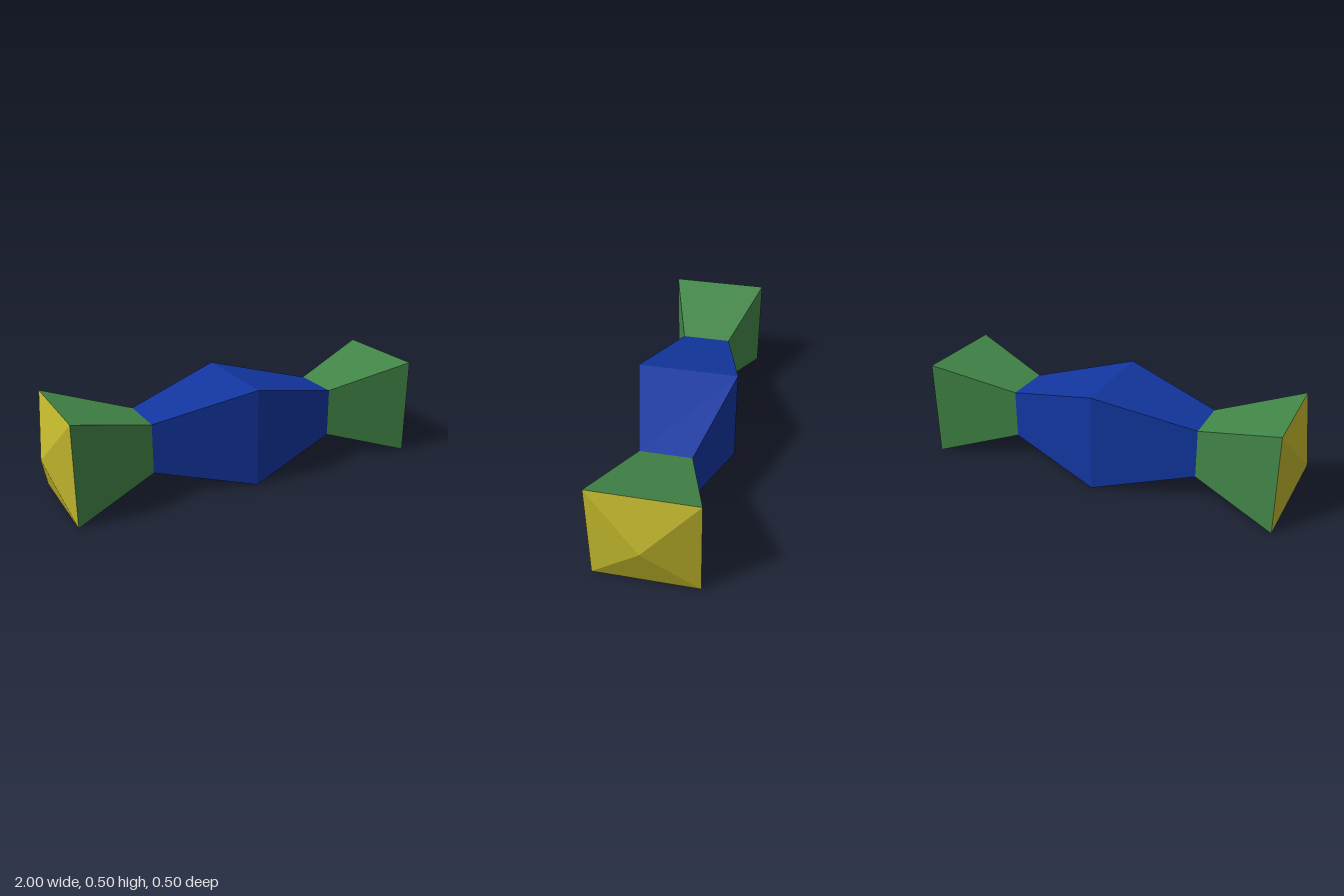
import * as THREE from 'three';

const MID_Y = 0.25;

// Square-section frustum along x, from x0 (half-width h0) to x1 (half-width h1)
function squareFrustum(name, x0, h0, x1, h1, color) {
  const geo = new THREE.CylinderGeometry(h1 * Math.SQRT2, h0 * Math.SQRT2, x1 - x0, 4, 1, true);
  geo.rotateY(Math.PI / 4);
  geo.rotateZ(-Math.PI / 2);
  geo.translate((x0 + x1) / 2, MID_Y, 0);
  const mesh = new THREE.Mesh(geo, new THREE.MeshStandardMaterial({ color, flatShading: true }));
  mesh.name = name;
  return mesh;
}

export function createModel() {
  const model = new THREE.Group();
  model.name = 'facetedBar';

  // One half: body, flared end and pyramid cap; the other half is turned round y
  for (const [side, angle] of [['left', 0], ['right', Math.PI]]) {
    const half = new THREE.Group();
    half.name = side + 'Half';
    half.add(
      squareFrustum(side + 'Body', 0, 0.25, 0.5, 0.125, 0x1236a0),
      squareFrustum(side + 'Flare', 0.5, 0.125, 0.92, 0.25, 0x428648),
      squareFrustum(side + 'Cap', 0.92, 0.25, 1, 0, 0xbfb42c)
    );
    half.rotation.y = angle;
    model.add(half);
  }
  return model;
}
